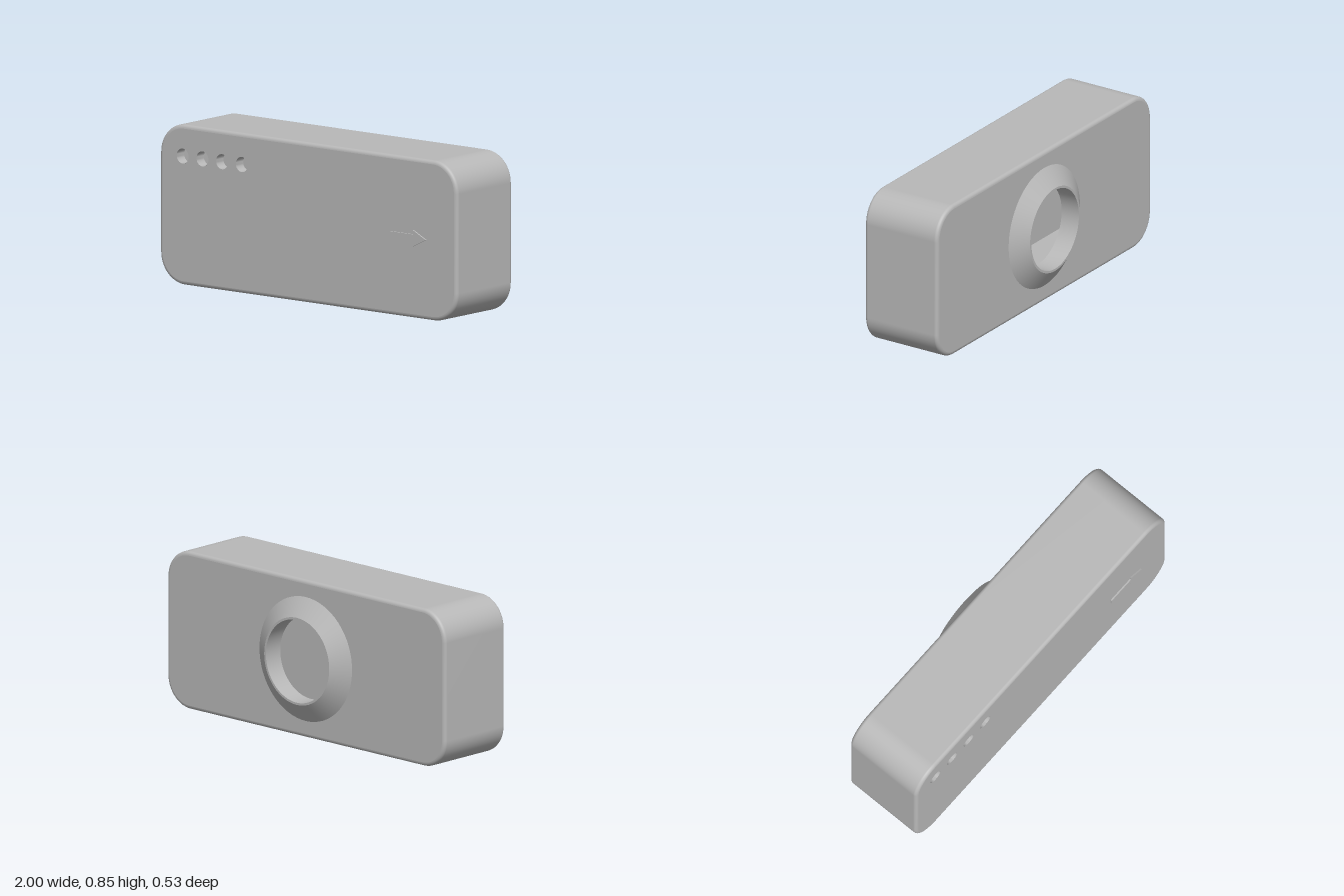
import * as THREE from 'three';
import { toCreasedNormals } from 'three/addons/utils/BufferGeometryUtils.js';

const CY = 0.4225, HALF_W = 1, HALF_H = 0.4225, CORNER = 0.16;
const FRONT = 0.257, BACK = -0.197, WALL = 0.04, BEVEL = 0.02;
const HOLE_X = [-0.845, -0.712, -0.58, -0.447], HOLE_Y = 0.68, HOLE_R = 0.04;
const PORT_R = 0.222;

// rounded rectangle outline, counter-clockwise, shrunk by inset
function outline(inset, steps = 14) {
  const r = CORNER - inset, pts = [];
  const centres = [[1, 1], [-1, 1], [-1, -1], [1, -1]];
  centres.forEach(([sx, sy], q) => {
    for (let i = 0; i <= steps; i++) {
      const a = (q + i / steps) * Math.PI / 2;
      pts.push(new THREE.Vector2(
        sx * (HALF_W - CORNER) + r * Math.cos(a),
        CY + sy * (HALF_H - CORNER) + r * Math.sin(a)));
    }
  });
  return pts;
}

// side skin swept through [inset, z] rings
function skin(rings, inward) {
  const pos = [], idx = [];
  let n = 0;
  for (const [inset, z] of rings) {
    const loop = outline(inset);
    n = loop.length;
    loop.forEach(p => pos.push(p.x, p.y, z));
  }
  for (let k = 0; k < rings.length - 1; k++) {
    for (let i = 0; i < n; i++) {
      const a = k * n + i, b = k * n + (i + 1) % n, c = a + n, d = b + n;
      if (inward) idx.push(a, c, b, b, c, d);
      else idx.push(a, b, c, b, d, c);
    }
  }
  const g = new THREE.BufferGeometry();
  g.setAttribute('position', new THREE.Float32BufferAttribute(pos, 3));
  g.setIndex(idx);
  g.computeVertexNormals();
  return g;
}

// flat wall face with round holes given as [x, y, radius]
function plate(inset, z, holes) {
  const s = new THREE.Shape(outline(inset));
  for (const [x, y, r] of holes) {
    const h = new THREE.Path();
    h.absarc(x, y, r, 0, Math.PI * 2, true);
    s.holes.push(h);
  }
  return new THREE.ShapeGeometry(s, 32).translate(0, 0, z);
}

function turned(points, segments) {
  const g = new THREE.LatheGeometry(points.map(p => new THREE.Vector2(...p)), segments);
  return toCreasedNormals(g, 0.5);
}

export function createModel() {
  const model = new THREE.Group();
  model.name = 'wallUnit';
  const grey = new THREE.MeshStandardMaterial({ color: 0xb8b8b8, side: THREE.DoubleSide });
  grey.name = 'grey plastic';
  const add = (name, geometry) => {
    const m = new THREE.Mesh(geometry, grey);
    m.name = name;
    model.add(m);
    return m;
  };

  // outer side skin with softly rounded front and back edges
  const rings = [], steps = 5;
  for (let i = 0; i <= steps; i++) {
    const a = i / steps * Math.PI / 2;
    rings.push([BEVEL * (1 - Math.sin(a)), BACK + BEVEL * (1 - Math.cos(a))]);
  }
  for (let i = steps; i >= 0; i--) {
    const a = i / steps * Math.PI / 2;
    rings.push([BEVEL * (1 - Math.sin(a)), FRONT - BEVEL * (1 - Math.cos(a))]);
  }
  add('caseSides', skin(rings, false));

  // front and back faces, outside and inside
  const lights = HOLE_X.map(x => [x, HOLE_Y, HOLE_R]);
  const port = [[0, CY, PORT_R]];
  const flip = g => g.translate(0, 0, 0).rotateY(Math.PI);
  add('frontFace', plate(BEVEL, FRONT, lights));
  add('backFace', flip(plate(BEVEL, -BACK, port)));
  add('frontInnerFace', flip(plate(WALL, -(FRONT - WALL), lights.map(([x, y, r]) => [-x, y, r]))));
  add('backInnerFace', plate(WALL, BACK + WALL, port));
  add('cavitySides', skin([[WALL, BACK + WALL], [WALL, FRONT - WALL]], true));

  // row of small holes with collars behind the front wall
  const inner = FRONT - WALL;
  for (const x of HOLE_X) {
    const g = turned([[HOLE_R, FRONT], [HOLE_R, inner - 0.02],
      [HOLE_R + 0.012, inner - 0.02], [HOLE_R + 0.012, inner]], 32);
    add('holeCollar', g.rotateX(Math.PI / 2)).position.set(x, HOLE_Y, 0);
  }

  // conical port rim on the back
  const rim = turned([[0.333, -BACK], [0.234, 0.265], [PORT_R, 0.265],
    [PORT_R, -(BACK + WALL)]], 64);
  add('backPortRim', rim.rotateX(-Math.PI / 2)).position.y = CY;

  // raised direction arrow on the front
  const arrow = new THREE.Shape([[0.555, -0.02], [0.71, -0.02], [0.71, -0.043], [0.795, 0],
    [0.71, 0.043], [0.71, 0.02], [0.555, 0.02]].map(p => new THREE.Vector2(...p)));
  const arrowGeo = new THREE.ExtrudeGeometry(arrow, { depth: 0.009, bevelEnabled: false });
  add('directionArrow', arrowGeo).position.set(0, CY, FRONT - 0.001);

  return model;
}
